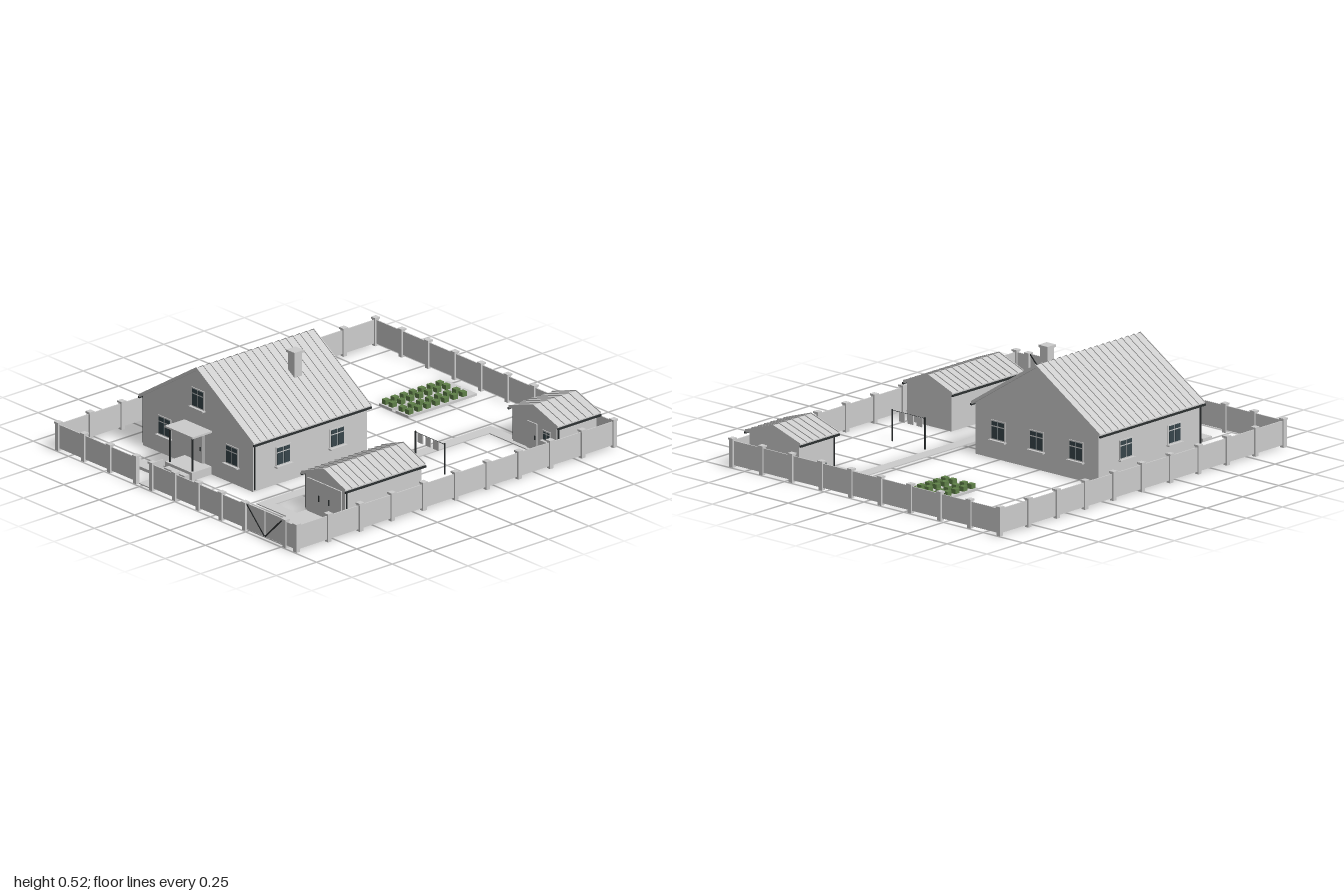
import * as THREE from 'three';

const mat = (name, color) => {
  const m = new THREE.MeshStandardMaterial({ color });
  m.name = name;
  return m;
};

export function createModel() {
  const root = new THREE.Group();
  root.name = 'homestead';
  const grey = mat('pale grey', 0xcccccc);
  const dark = mat('dark metal', 0x2c3031);
  const glass = mat('window glass', 0x36454a);
  const green = mat('leaf green', 0x5f8048);
  const steel = mat('barrel grey', 0x6a7070);

  const group = (name, parent = root) => {
    const g = new THREE.Group();
    g.name = name;
    parent.add(g);
    return g;
  };
  const add = (parent, name, geo, m) => {
    const mesh = new THREE.Mesh(geo, m);
    mesh.name = name;
    parent.add(mesh);
    return mesh;
  };
  // Box given by its minimum and maximum on each axis
  const box = (parent, name, x0, x1, y0, y1, z0, z1, m = grey) => {
    const b = add(parent, name, new THREE.BoxGeometry(x1 - x0, y1 - y0, z1 - z0), m);
    b.position.set((x0 + x1) / 2, (y0 + y1) / 2, (z0 + z1) / 2);
    return b;
  };
  // Outline in x and y pushed along z
  const prism = (parent, name, pts, z0, z1, m = grey) => {
    const shape = new THREE.Shape(pts.map(p => new THREE.Vector2(...p)));
    const geo = new THREE.ExtrudeGeometry(shape, { depth: z1 - z0, bevelEnabled: false });
    geo.translate(0, 0, z0);
    return add(parent, name, geo, m);
  };

  // Gabled building with ribbed roof, gutters and downpipes
  function building(name, o) {
    const g = group(name);
    const { cx, hw, wall, eave, ridge, z0, z1, inset, ribs } = o;
    const slope = (ridge - eave) / hw, t = 0.012;
    const wy = eave + (hw - wall) * slope - t;
    prism(g, 'walls', [[cx - wall, 0], [cx + wall, 0], [cx + wall, wy], [cx, ridge - t], [cx - wall, wy]],
      z0 + inset, z1 - inset);
    const chevron = (lift, th) => [[cx - hw, eave + lift - th], [cx, ridge + lift - th], [cx + hw, eave + lift - th],
      [cx + hw, eave + lift], [cx, ridge + lift], [cx - hw, eave + lift]];
    prism(g, 'roof', chevron(0, t), z0, z1);
    for (let i = 0; i <= ribs; i++) {
      const z = z0 + 0.002 + (z1 - z0 - 0.004) * i / ribs;
      prism(g, 'roofRib', chevron(0.005, 0.006), z - 0.002, z + 0.002);
    }
    for (const s of [-1, 1]) {
      const gx = cx + s * (hw + 0.001), px = cx + s * (wall + 0.005);
      box(g, 'gutter', gx - 0.004, gx + 0.004, eave - 0.016, eave - 0.006, z0, z1, dark);
      box(g, 'downpipe', px - 0.003, px + 0.003, 0.01, eave - 0.006, z1 - inset - 0.01, z1 - inset - 0.004, dark);
    }
    return g;
  }

  // Window facing +z, centred on its own origin
  function windowAt(parent, x, y, z, turn = 0, w = 0.09, h = 0.095) {
    const g = group('window', parent);
    g.position.set(x, y, z);
    g.rotation.y = turn;
    box(g, 'windowFrame', -w / 2, w / 2, -h / 2, h / 2, -0.004, 0.004);
    const b = 0.006, split = h * 0.2;
    for (const s of [-1, 1]) {
      const x0 = s < 0 ? -w / 2 + b : b / 2, x1 = s < 0 ? -b / 2 : w / 2 - b;
      box(g, 'lowerPane', x0, x1, -h / 2 + b, split - b / 2, 0.003, 0.006, glass);
      box(g, 'upperPane', x0, x1, split + b / 2, h / 2 - b, 0.003, 0.006, glass);
    }
    box(g, 'windowSill', -w / 2 - 0.006, w / 2 + 0.006, -h / 2 - 0.007, -h / 2, -0.004, 0.018);
  }

  // House
  const house = building('house', { cx: -0.237, hw: 0.405, wall: 0.388, eave: 0.25, ridge: 0.508,
    z0: -0.072, z1: 0.66, inset: 0.012, ribs: 17 });
  const zf = 0.648, zb = -0.06;
  for (const x of [-0.47, 0.005]) windowAt(house, x, 0.14, zf);
  windowAt(house, -0.235, 0.353, zf);
  for (const x of [-0.485, -0.237, 0.005]) windowAt(house, x, 0.14, zb, Math.PI);
  for (const z of [0.127, 0.462]) {
    windowAt(house, 0.151, 0.14, z, Math.PI / 2);
    windowAt(house, -0.625, 0.14, z, -Math.PI / 2);
  }
  box(house, 'chimney', -0.102, -0.056, 0.36, 0.51, 0.162, 0.208);
  box(house, 'chimneyCap', -0.108, -0.05, 0.51, 0.522, 0.156, 0.214);

  // Entrance with steps and canopy
  const porch = group('porch');
  box(porch, 'doorFrame', -0.28, -0.19, 0.04, 0.2, zf, zf + 0.006);
  box(porch, 'door', -0.272, -0.198, 0.04, 0.192, zf, zf + 0.01);
  box(porch, 'doorHandle', -0.21, -0.206, 0.1, 0.12, zf + 0.01, zf + 0.014, dark);
  box(porch, 'porchFloor', -0.33, -0.14, 0, 0.04, zf, 0.77);
  box(porch, 'upperStep', -0.305, -0.16, 0, 0.026, 0.77, 0.8);
  box(porch, 'lowerStep', -0.305, -0.16, 0, 0.013, 0.8, 0.83);
  box(porch, 'canopy', -0.333, -0.137, 0.21, 0.219, zf, 0.77);
  for (const x of [-0.313, -0.155]) box(porch, 'canopyPost', x - 0.003, x + 0.003, 0.04, 0.21, 0.752, 0.758, dark);

  // Garage
  const garage = building('garage', { cx: 0.617, hw: 0.155, wall: 0.14, eave: 0.19, ridge: 0.25,
    z0: 0.122, z1: 0.622, inset: 0.012, ribs: 12 });
  for (const s of [-1, 1]) {
    const a = 0.617 + s * 0.001, b = 0.617 + s * 0.12;
    box(garage, 'garageDoor', Math.min(a, b), Math.max(a, b), 0.004, 0.172, 0.61, 0.617);
    const h = 0.617 + s * 0.035;
    box(garage, 'garageHandle', h - 0.003, h + 0.003, 0.075, 0.105, 0.617, 0.621, dark);
  }
  box(garage, 'garageDoorSeam', 0.616, 0.618, 0.004, 0.172, 0.61, 0.616, dark);

  // Shed and water barrel
  const shed = building('shed', { cx: 0.633, hw: 0.173, wall: 0.155, eave: 0.175, ridge: 0.232,
    z0: -0.936, z1: -0.665, inset: 0.012, ribs: 6 });
  box(shed, 'shedDoor', 0.582, 0.652, 0.004, 0.14, -0.677, -0.671);
  box(shed, 'shedHandle', 0.64, 0.644, 0.06, 0.08, -0.671, -0.667, dark);
  windowAt(shed, 0.72, 0.1, -0.677, 0, 0.055, 0.05);
  const barrel = add(root, 'barrel', new THREE.CylinderGeometry(0.022, 0.022, 0.06, 16), steel);
  barrel.position.set(0.437, 0.03, -0.805);

  // Paths and driveway
  const paths = group('paths');
  const path = (n, x0, x1, z0, z1) => box(paths, n, x0, x1, 0, 0.005, z0, z1);
  path('mainPath', 0.275, 0.338, -0.718, 0.735);
  path('shedPath', 0.338, 0.66, -0.718, -0.655);
  path('garagePath', 0.338, 0.487, 0.672, 0.735);
  path('driveway', 0.487, 0.745, 0.61, 0.98);
  path('entrancePath', -0.277, -0.195, 0.83, 0.98);

  // Front flower beds
  box(root, 'frontBed', -0.505, -0.34, 0, 0.015, 0.795, 0.858);
  box(root, 'frontBed', -0.128, 0.032, 0, 0.015, 0.795, 0.858);

  // Vegetable beds
  const garden = group('garden');
  for (const cx of [-0.22, -0.103]) {
    box(garden, 'vegetableBed', cx - 0.045, cx + 0.045, 0, 0.012, -0.925, -0.5);
    for (const dx of [-0.023, 0.023]) for (let i = 0; i < 7; i++) {
      const x = cx + dx, z = -0.857 + i * 0.0555;
      box(garden, 'plant', x - 0.014, x + 0.014, 0.012, 0.035, z - 0.014, z + 0.014, green);
    }
  }

  // Washing line
  const line = group('washingLine');
  for (const x of [0.37, 0.576]) box(line, 'linePost', x - 0.003, x + 0.003, 0, 0.156, -0.171, -0.165, dark);
  box(line, 'line', 0.37, 0.576, 0.15, 0.152, -0.169, -0.167, dark);
  for (const x of [0.405, 0.46, 0.515]) box(line, 'cloth', x - 0.018, x + 0.018, 0.105, 0.151, -0.17, -0.166);

  // Fence: posts along each run with panels between, leaving gaps for the gates
  const fence = group('fence');
  const X = 0.841, Z = 0.984;
  const post = (x, z) => {
    box(fence, 'fencePost', x - 0.011, x + 0.011, 0, 0.134, z - 0.011, z + 0.011);
    box(fence, 'postCap', x - 0.015, x + 0.015, 0.134, 0.143, z - 0.015, z + 0.015);
  };
  const steps = (a, b, n) => Array.from({ length: n + 1 }, (_, i) => a + (b - a) * i / n);
  const frontXs = [...steps(-X, -0.29, 3), ...steps(-0.178, 0.478, 4), 0.764, X];
  frontXs.forEach(x => post(x, Z));
  steps(-X, X, 9).forEach(x => post(x, -Z));
  for (const z of steps(-Z, Z, 10).slice(1, -1)) for (const s of [-1, 1]) post(s * X, z);
  const T = 0.003;
  box(fence, 'backPanel', -X, X, 0.012, 0.13, -Z - T, -Z + T);
  for (const s of [-1, 1]) box(fence, 'sidePanel', s * X - T, s * X + T, 0.012, 0.13, -Z, Z);
  for (const [a, b] of [[-X, -0.29], [-0.178, 0.478], [0.764, X]]) {
    box(fence, 'frontPanel', a, b, 0.012, 0.13, Z - T, Z + T);
  }

  // Driveway gate with braces, and the open garden gate
  const gate = group('drivewayGate');
  for (const s of [-1, 1]) {
    const inner = 0.621 + s * 0.003, outer = 0.621 + s * 0.128;
    box(gate, 'gateLeaf', Math.min(inner, outer), Math.max(inner, outer), 0.01, 0.138, Z - T, Z + T);
    const brace = box(gate, 'gateBrace', -0.088, 0.088, -0.0035, 0.0035, -0.005, 0.005, dark);
    brace.position.set((inner + outer) / 2, 0.074, Z);
    brace.rotation.z = s * Math.atan2(0.124, 0.125);
  }
  box(root, 'gardenGate', -0.194, -0.19, 0.012, 0.13, 0.905, 0.98);

  return root;
}
